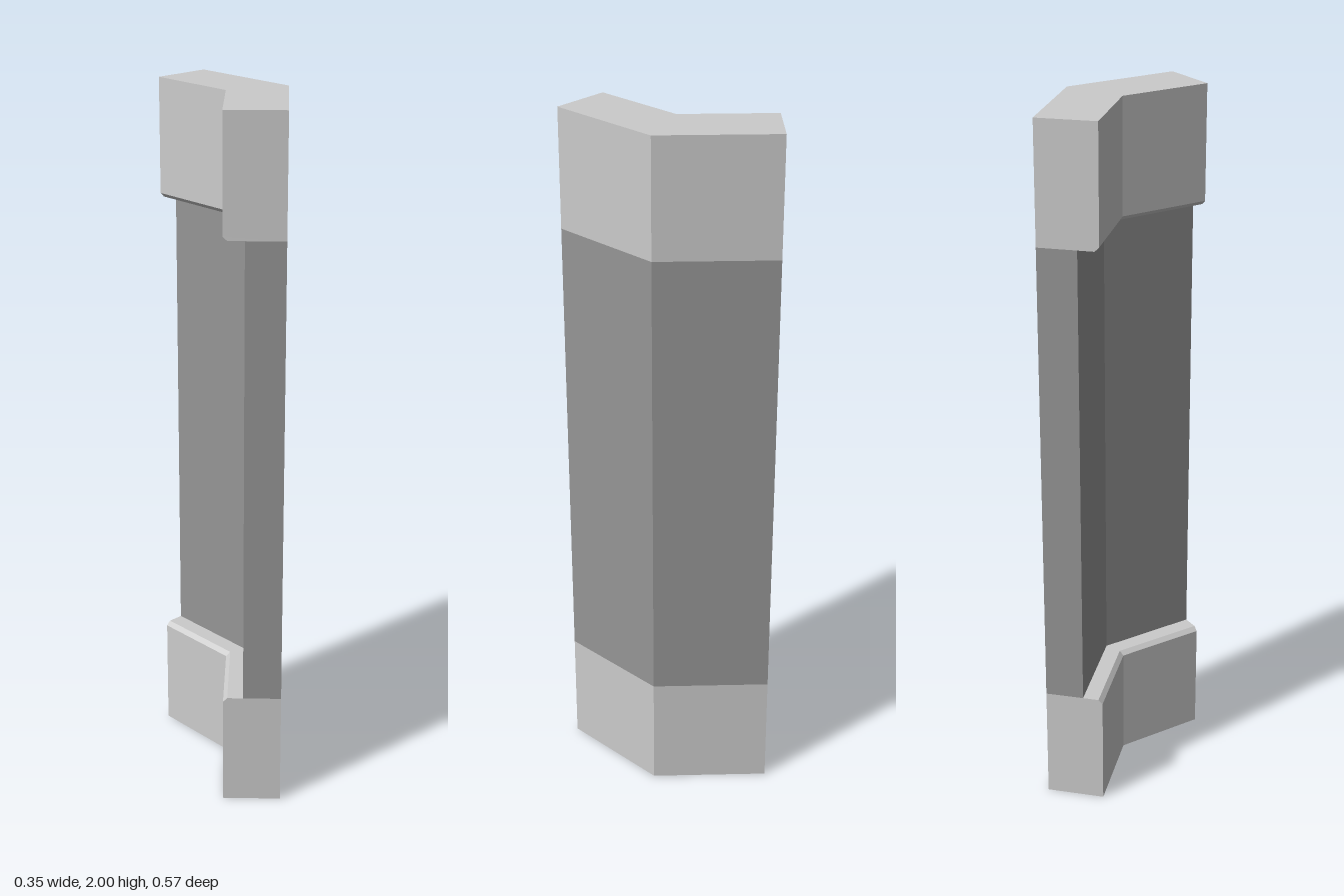
import * as THREE from 'three';

// Bent plan outline; "inset" pushes the concave side inwards.
function outline(inset) {
  const s = inset * Math.SQRT1_2;
  return [
    [0.01 + inset, -0.285],
    [0.175, -0.285],
    [0.175, 0.048],
    [-0.06, 0.282],
    [-0.177 + s, 0.166 + s],
    [0.01 + inset, -0.02 + inset * (Math.SQRT2 - 1)],
  ];
}

// Flat-faced solid through horizontal sections [y, inset], listed upwards.
function loft(sections, closed) {
  const rings = sections.map(([y, inset]) => outline(inset).map(([x, z]) => [x, y, z]));
  const positions = [];
  const quad = (a, b, c, d) => positions.push(...a, ...b, ...c, ...a, ...c, ...d);
  for (let i = 0; i < rings.length - 1; i++) {
    const low = rings[i], high = rings[i + 1];
    for (let j = 0; j < low.length; j++) {
      const k = (j + 1) % low.length;
      quad(low[j], high[j], high[k], low[k]);
    }
  }
  if (closed) {
    const b = rings[0], t = rings[rings.length - 1];
    for (const [i, j, k, l] of [[0, 1, 2, 5], [5, 2, 3, 4]]) {
      quad(b[i], b[j], b[k], b[l]);
      quad(t[l], t[k], t[j], t[i]);
    }
  }
  const geometry = new THREE.BufferGeometry();
  geometry.setAttribute('position', new THREE.Float32BufferAttribute(positions, 3));
  geometry.computeVertexNormals();
  return geometry;
}

export function createModel() {
  const group = new THREE.Group();
  const light = new THREE.MeshStandardMaterial({ color: 0xcccccc, flatShading: true });
  const dark = new THREE.MeshStandardMaterial({ color: 0x969696, flatShading: true });
  const add = (name, geometry, material) => {
    const mesh = new THREE.Mesh(geometry, material);
    mesh.name = name;
    group.add(mesh);
  };

  const bevel = 0.012, capHeight = 0.333, height = 2;

  // End blocks, bevelled along the concave edge that faces the shaft
  const base = [[0, 0], [capHeight - bevel, 0], [capHeight, bevel]];
  const top = base.map(([y, inset]) => [height - y, inset]).reverse();
  add('baseBlock', loft(base, true), light);
  add('topBlock', loft(top, true), light);

  // Recessed shaft, flush with the blocks on the convex side
  add('shaft', loft([[capHeight, 0.057], [height - capHeight, 0.057]], false), dark);

  return group;
}
